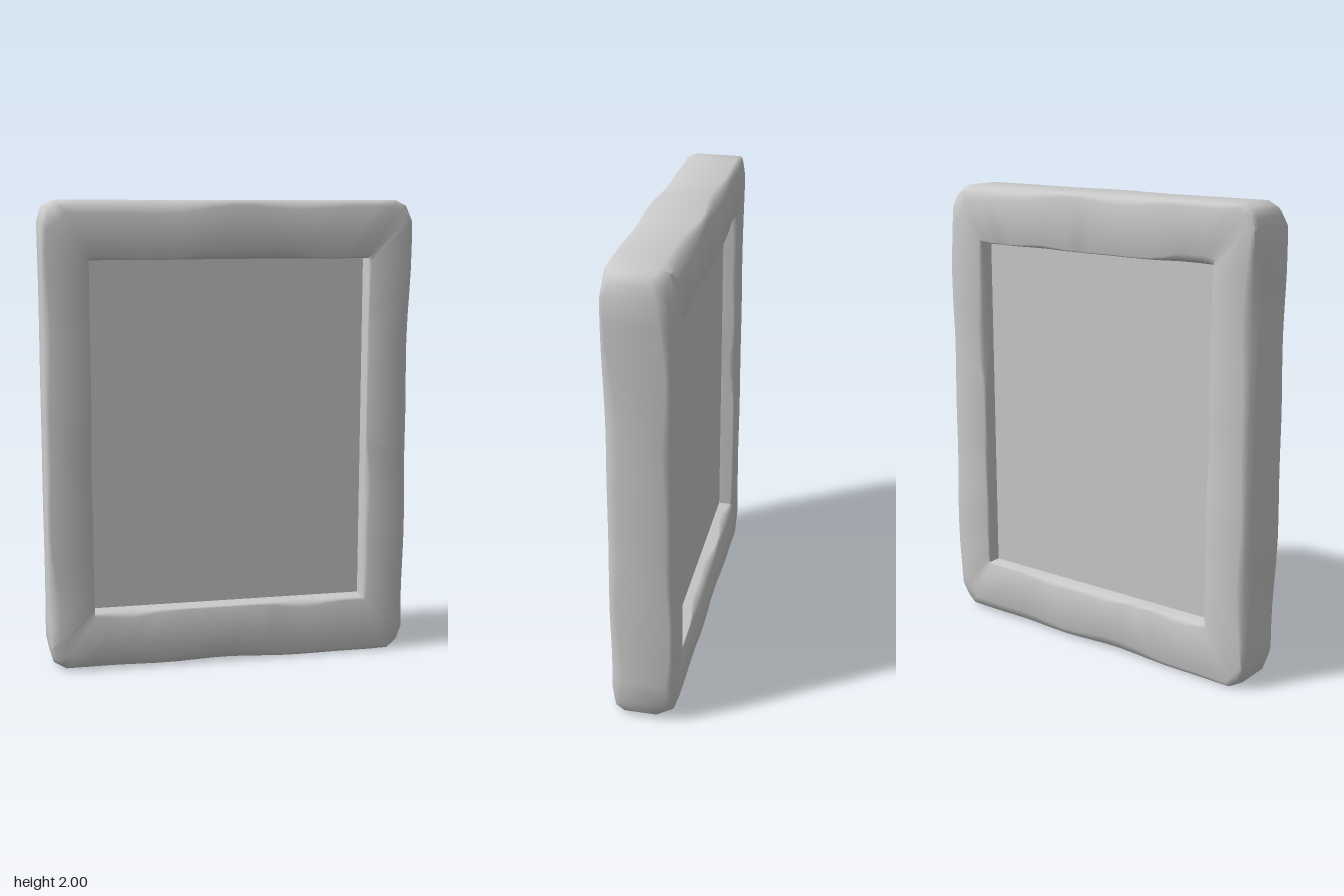
import * as THREE from 'three';
import { toCreasedNormals } from 'three/addons/utils/BufferGeometryUtils.js';

const FRONT = 0.133, BACK = -0.135;

// Smooth wear between 0 and 1 along the perimeter (u = 0..4, one unit per side)
function wear(u, seed) {
  const a = u * Math.PI / 2;
  const n = Math.sin(a * 3 + seed) + 0.8 * Math.sin(a * 7 + seed * 2.3) + 0.5 * Math.sin(a * 13 + seed * 4.1);
  return Math.min(1, Math.max(0, 0.5 + n / 3.2));
}

// Point on a rectangle between the outer edge (f = 0) and the opening (f = 1)
function rectPoint(side, t, f, z) {
  const x = 0.795 - 0.195 * f, lo = 0.25 * f, hi = 2 - 0.245 * f;
  const corners = [[-x, lo], [x, lo], [x, hi], [-x, hi]];
  const a = corners[side], b = corners[(side + 1) % 4];
  return [a[0] + (b[0] - a[0]) * t, a[1] + (b[1] - a[1]) * t, z];
}

// Cross-section of the frame: outer wall, front face, inner wall, back face
function section(side, t) {
  const u = side + t;
  const corner = Math.max(0, 1 - Math.min(t, 1 - t) / 0.045);
  const e = 0.1 * corner;
  const outer = seed => 0.015 + 0.045 * wear(u, seed) + 0.02 * corner;
  const inner = seed => 0.004 + 0.03 * wear(u, seed) ** 2;
  const of = outer(1), ob = outer(4.4), nf = inner(2.7), nb = inner(5.9);
  // Insets are fractions of the bar width, about 0.22
  const k = 4.5;
  return [
    [e + ob * k * 0.25, BACK + ob * 0.3],
    [e, BACK + ob],
    [e, FRONT - of],
    [e + of * k * 0.25, FRONT - of * 0.3],
    [e + of * k * 0.9, FRONT],
    [1 - nf * k, FRONT],
    [1 - nf * k * 0.3, FRONT - nf * 0.35],
    [1, FRONT - nf * 1.3],
    [1, BACK + nb * 1.3],
    [1 - nb * k * 0.3, BACK + nb * 0.35],
    [1 - nb * k, BACK],
    [e + ob * k * 0.9, BACK],
  ].map(([f, z]) => rectPoint(side, t, f, z));
}

// Closed ring of sections joined by quads
function frameGeometry() {
  const stops = [0, 0.02, 0.045];
  for (let i = 1; i < 18; i++) stops.push(0.045 + 0.91 * i / 18);
  stops.push(0.955, 0.98);
  const rings = [];
  for (let side = 0; side < 4; side++) {
    for (const t of stops) rings.push(section(side, t));
  }
  const n = rings[0].length, index = [];
  rings.forEach((ring, i) => {
    const next = (i + 1) % rings.length;
    for (let j = 0; j < n; j++) {
      const k = (j + 1) % n;
      const a = i * n + j, b = next * n + j, c = next * n + k, d = i * n + k;
      index.push(a, b, c, a, c, d);
    }
  });
  const geometry = new THREE.BufferGeometry();
  geometry.setAttribute('position', new THREE.Float32BufferAttribute(rings.flat(2), 3));
  geometry.setIndex(index);
  return toCreasedNormals(geometry, 0.85);
}

export function createModel() {
  const group = new THREE.Group();
  const material = new THREE.MeshStandardMaterial({ color: 0xcccccc });

  // Worn stone surround
  const frame = new THREE.Mesh(frameGeometry(), material);
  frame.name = 'wornFrame';
  group.add(frame);

  // Flat panel set back inside the opening on both faces
  const panel = new THREE.Mesh(new THREE.BoxGeometry(1.21, 1.515, 0.115), material);
  panel.name = 'recessedPanel';
  panel.position.set(0, 1.0025, -0.012);
  group.add(panel);

  return group;
}
